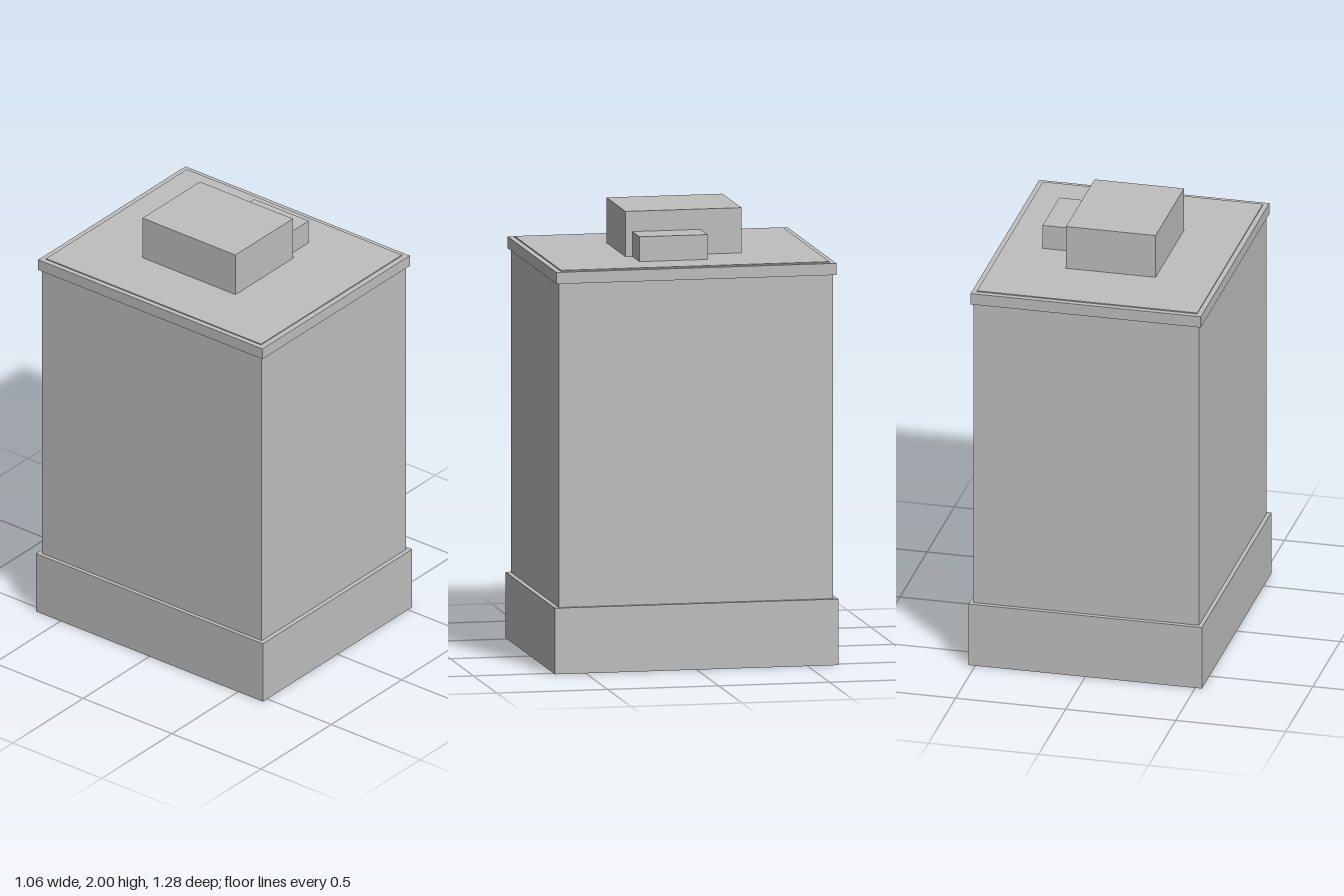
import * as THREE from 'three';

const grey = new THREE.MeshStandardMaterial({ color: 0xbfbfbf });
grey.name = 'concrete grey';

// Box given by its lower and upper limits on each axis
function block(name, [x0, x1], [y0, y1], [z0, z1]) {
  const mesh = new THREE.Mesh(new THREE.BoxGeometry(x1 - x0, y1 - y0, z1 - z0), grey);
  mesh.name = name;
  mesh.position.set((x0 + x1) / 2, (y0 + y1) / 2, (z0 + z1) / 2);
  return mesh;
}

export function createModel() {
  const building = new THREE.Group();
  building.name = 'building';
  building.add(
    // Stacked tiers, all centred on the vertical axis
    block('base', [-0.53, 0.53], [0, 0.295], [-0.639, 0.639]),
    block('tower', [-0.512, 0.512], [0.295, 1.741], [-0.618, 0.618]),
    block('cornice', [-0.523, 0.523], [1.741, 1.793], [-0.631, 0.631]),
    block('roofSlab', [-0.5, 0.5], [1.793, 1.798], [-0.605, 0.605]),
    // Rooftop housings, set off centre
    block('penthouse', [-0.23, 0.177], [1.798, 2], [-0.276, 0.247]),
    block('penthouseAnnex', [0.177, 0.329], [1.798, 1.909], [-0.092, 0.216]),
  );
  return building;
}
